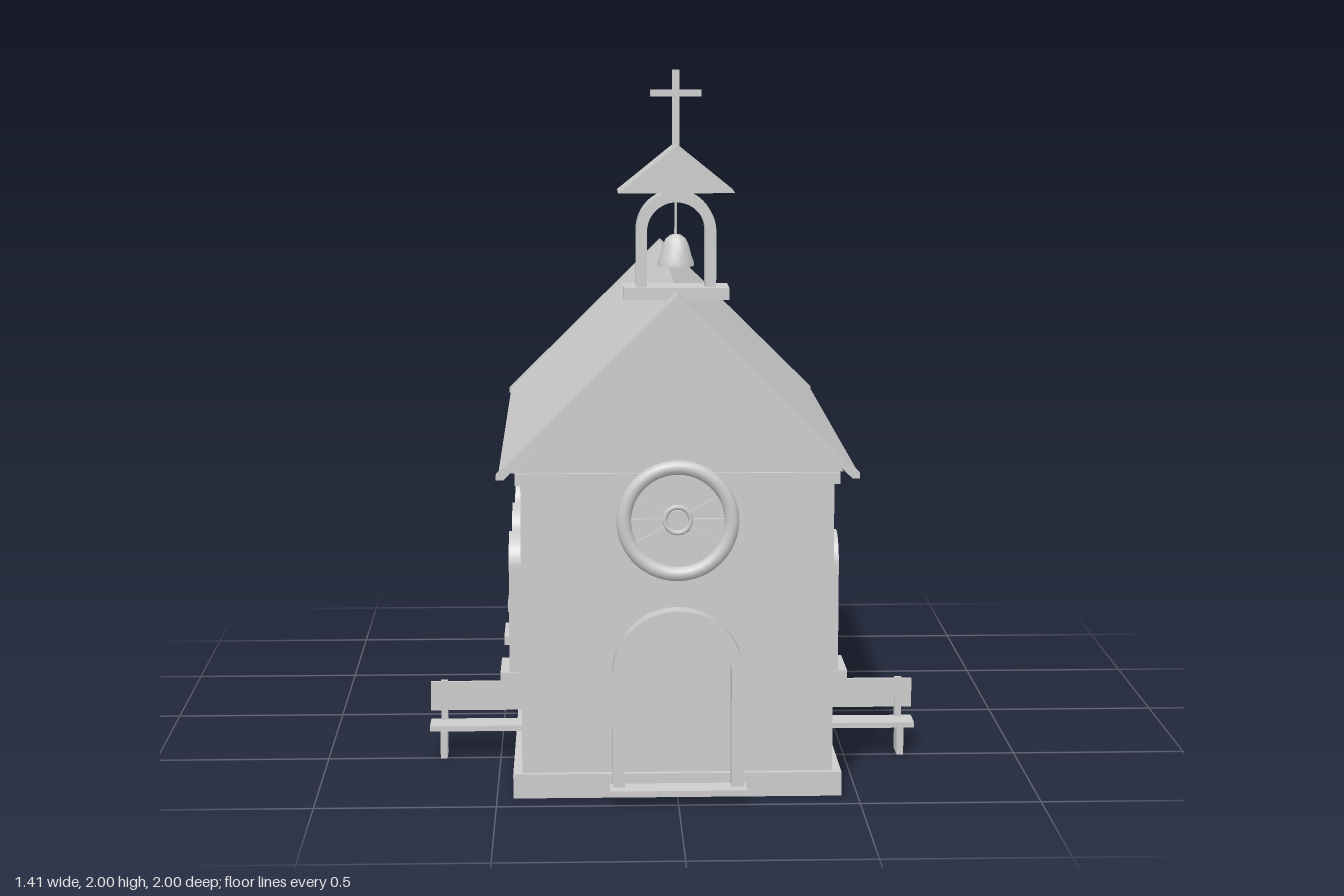
import * as THREE from 'three';
import { toCreasedNormals } from 'three/addons/utils/BufferGeometryUtils.js';

const stone = new THREE.MeshStandardMaterial({ color: 0xcccccc });
stone.name = 'pale grey stone';

function add(parent, name, geometry, x = 0, y = 0, z = 0) {
  const mesh = new THREE.Mesh(geometry, stone);
  mesh.name = name;
  mesh.position.set(x, y, z);
  parent.add(mesh);
  return mesh;
}

// Box given by its limits on each axis
function box(parent, name, x0, x1, y0, y1, z0, z1) {
  return add(parent, name, new THREE.BoxGeometry(x1 - x0, y1 - y0, z1 - z0),
    (x0 + x1) / 2, (y0 + y1) / 2, (z0 + z1) / 2);
}

// Outline in x and y, extruded from z0 to z1
function prism(parent, name, points, z0, z1) {
  const shape = new THREE.Shape(points.map(p => new THREE.Vector2(...p)));
  const geo = new THREE.ExtrudeGeometry(shape, { depth: z1 - z0, bevelEnabled: false });
  return add(parent, name, geo, 0, 0, z0);
}

// Two jambs joined by a half-round arch
function archway(parent, outer, inner, bottom, spring, z0, z1) {
  for (const s of [-1, 1]) {
    const c = s * (outer + inner) / 2, h = (outer - inner) / 2;
    box(parent, 'jamb', c - h, c + h, bottom, spring, z0, z1);
  }
  const shape = new THREE.Shape();
  shape.absarc(0, 0, outer, 0, Math.PI, false);
  shape.absarc(0, 0, inner, Math.PI, 0, true);
  const geo = new THREE.ExtrudeGeometry(shape, { depth: z1 - z0, bevelEnabled: false, curveSegments: 20 });
  add(parent, 'arch', toCreasedNormals(geo, 0.6), 0, spring, z0);
}

function group(parent, name) {
  const g = new THREE.Group();
  g.name = name;
  parent.add(g);
  return g;
}

function sideWindow(parent, side, z) {
  const w = group(parent, 'sideWindow');
  archway(w, 0.087, 0.064, 0.285, 0.59, -0.01, 0.04);
  box(w, 'sill', -0.095, 0.095, 0.26, 0.285, -0.01, 0.066);
  box(w, 'mullion', -0.004, 0.004, 0.285, 0.652, -0.01, 0.012);
  box(w, 'transom', -0.064, 0.064, 0.471, 0.479, -0.01, 0.012);
  w.position.set(side * 0.43, 0, z);
  w.rotation.y = side * Math.PI / 2;
}

function bench(parent, side) {
  const b = group(parent, 'bench');
  const part = (name, x0, x1, ...rest) =>
    box(b, name, Math.min(side * x0, side * x1), Math.max(side * x0, side * x1), ...rest);
  part('seat', 0.42, 0.705, 0.082, 0.098, 0.425, 0.512);
  part('backrest', 0.42, 0.705, 0.125, 0.21, 0.422, 0.434);
  part('leg', 0.655, 0.675, 0, 0.082, 0.432, 0.505);
  part('backPost', 0.655, 0.675, 0.098, 0.215, 0.424, 0.44);
}

export function createModel() {
  const model = new THREE.Group();
  model.name = 'chapel';

  // Nave
  box(model, 'walls', -0.43, 0.43, 0, 0.91, -0.65, 0.905);
  box(model, 'plinth', -0.455, 0.455, 0, 0.068, -0.672, 0.922);
  box(model, 'cornice', -0.445, 0.445, 0.878, 0.91, -0.666, 0.917);
  prism(model, 'gable', [[-0.455, 0.91], [0.455, 0.91], [0, 1.375]], -0.65, 0.905);

  // Roof slab, with bargeboards closing both ends
  const chevron = (w, top, t, low) => [
    [0, top], [-w, low + 0.015], [-w, low], [-w + 0.02, low], [0, top - t],
    [w - 0.02, low], [w, low], [w, low + 0.015]];
  prism(model, 'roof', chevron(0.488, 1.4, 0.026, 0.905), -0.7, 0.94);
  for (const z of [-0.718, 0.938])
    prism(model, 'bargeboard', chevron(0.495, 1.405, 0.03, 0.9), z, z + 0.02);

  // Apse
  add(model, 'apse', new THREE.CylinderGeometry(0.36, 0.36, 0.765, 32), 0, 0.3825, -0.588);
  add(model, 'apseRoof', new THREE.ConeGeometry(0.41, 0.395, 24), 0, 0.9625, -0.588);

  // Front door
  const door = group(model, 'door');
  archway(door, 0.18, 0.147, 0.025, 0.355, 0.9, 0.962);
  box(door, 'step', -0.188, 0.188, 0.025, 0.04, 0.9, 1.0);

  // Rose window
  const rose = group(model, 'roseWindow');
  rose.position.set(0, 0.78, 0.905);
  add(rose, 'rim', new THREE.TorusGeometry(0.148, 0.02, 12, 48), 0, 0, 0.022);
  add(rose, 'hubRing', new THREE.TorusGeometry(0.036, 0.007, 8, 24), 0, 0, 0.01);
  const hub = add(rose, 'hub', new THREE.CylinderGeometry(0.027, 0.027, 0.02, 24), 0, 0, 0.006);
  hub.rotation.x = Math.PI / 2;
  for (let i = 0; i < 12; i++) {
    const a = i * Math.PI / 6;
    const spoke = add(rose, 'spoke', new THREE.BoxGeometry(0.1, 0.007, 0.014),
      0.086 * Math.cos(a), 0.086 * Math.sin(a), 0.006);
    spoke.rotation.z = a;
  }

  // Side windows and benches
  for (const side of [-1, 1]) {
    for (const z of [0.54, 0.09, -0.36]) sideWindow(model, side, z);
    bench(model, side);
  }

  // Bell cote
  const cote = group(model, 'bellCote');
  cote.position.z = 0.746;
  box(cote, 'base', -0.145, 0.145, 1.373, 1.407, -0.064, 0.064);
  archway(cote, 0.11, 0.08, 1.407, 1.56, -0.044, 0.044);
  prism(cote, 'coteRoof', [[-0.16, 1.668], [0.16, 1.668], [0, 1.797]], -0.085, 0.085);

  // Bell
  const profile = [[0, 0.005], [0.044, 0.002], [0.051, 0], [0.05, 0.012], [0.043, 0.03],
    [0.037, 0.055], [0.028, 0.075], [0.014, 0.086], [0, 0.088]].map(p => new THREE.Vector2(...p));
  add(cote, 'bell', toCreasedNormals(new THREE.LatheGeometry(profile, 24), 0.9), 0, 1.462, 0);
  add(cote, 'bellRod', new THREE.CylinderGeometry(0.004, 0.004, 0.11, 8), 0, 1.595, 0);

  // Cross
  box(cote, 'crossUpright', -0.01, 0.01, 1.785, 2.0, -0.009, 0.009);
  box(cote, 'crossArm', -0.07, 0.07, 1.927, 1.945, -0.009, 0.009);

  return model;
}
